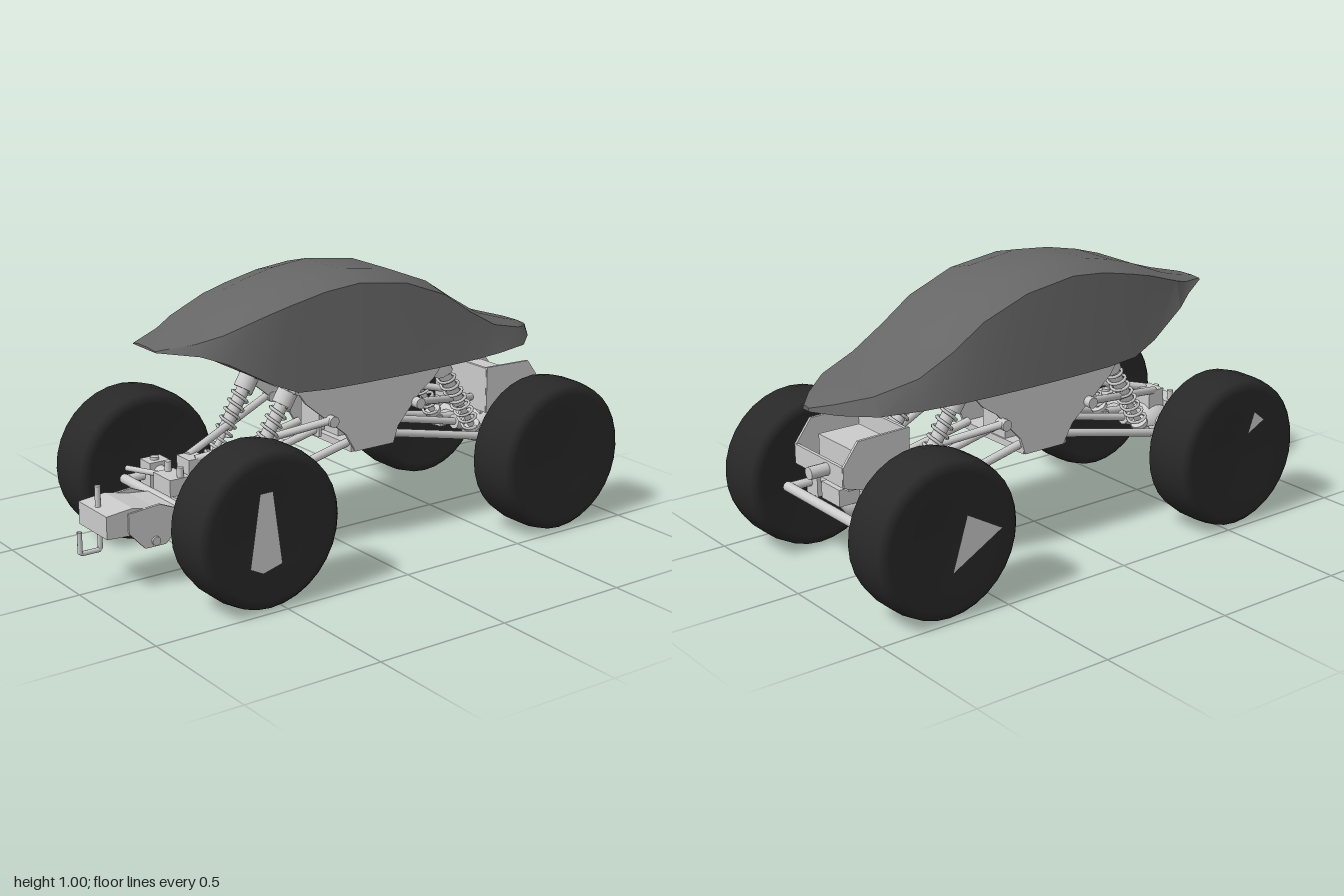
import * as THREE from 'three';
import { toCreasedNormals } from 'three/addons/utils/BufferGeometryUtils.js';

const grey = new THREE.MeshStandardMaterial({ color: 0xcccccc, side: THREE.DoubleSide });
const rubber = new THREE.MeshStandardMaterial({ color: 0x282828 });
const shellPaint = new THREE.MeshStandardMaterial({ color: 0x666666, side: THREE.DoubleSide });
const V = (x, y, z) => new THREE.Vector3(x, y, z);

export function createModel() {
  const model = new THREE.Group();

  function add(name, geo, x = 0, y = 0, z = 0, mat = grey, parent = model) {
    const mesh = new THREE.Mesh(geo, mat);
    mesh.name = name;
    mesh.position.set(x, y, z);
    parent.add(mesh);
    return mesh;
  }
  const box = (name, w, h, d, x, y, z) => add(name, new THREE.BoxGeometry(w, h, d), x, y, z);

  // Cylinder between two points
  function rod(name, a, b, r, r2 = r, sides = 12) {
    const dir = b.clone().sub(a);
    const mid = a.clone().add(b).multiplyScalar(0.5);
    const mesh = add(name, new THREE.CylinderGeometry(r2, r, dir.length(), sides), mid.x, mid.y, mid.z);
    mesh.quaternion.setFromUnitVectors(V(0, 1, 0), dir.normalize());
    return mesh;
  }

  // Side profile given as [z, y], extruded across x
  function plate(name, pts, x, thickness) {
    const shape = new THREE.Shape(pts.map(([z, y]) => new THREE.Vector2(-z, y)));
    const geo = new THREE.ExtrudeGeometry(shape, { depth: thickness, bevelEnabled: false });
    geo.translate(0, 0, -thickness / 2).rotateY(Math.PI / 2);
    return add(name, geo, x, 0, 0);
  }

  // Body shell: z, bottom, shoulder height, top, rim half width, shoulder half width
  const sections = [
    [0.725, 0.812, 0.816, 0.82, 0.075, 0.07], [0.6, 0.795, 0.835, 0.85, 0.15, 0.13],
    [0.52, 0.765, 0.86, 0.875, 0.195, 0.17], [0.37, 0.68, 0.91, 0.935, 0.225, 0.2],
    [0.27, 0.637, 0.935, 0.965, 0.235, 0.207], [0.14, 0.63, 0.962, 0.992, 0.245, 0.212],
    [0, 0.63, 0.975, 1.005, 0.252, 0.217], [-0.2, 0.63, 0.948, 0.98, 0.255, 0.22],
    [-0.38, 0.63, 0.88, 0.91, 0.252, 0.215], [-0.5, 0.63, 0.8, 0.832, 0.245, 0.21],
    [-0.63, 0.63, 0.73, 0.755, 0.228, 0.195], [-0.78, 0.63, 0.69, 0.707, 0.19, 0.155],
    [-0.88, 0.632, 0.665, 0.678, 0.1, 0.08], [-0.94, 0.637, 0.648, 0.652, 0.02, 0.015]];
  const pos = [], idx = [], n = 6, last = (sections.length - 1) * n;
  for (const [z, yb, ys, yt, wb, ws] of sections) {
    for (const [x, y] of [[wb, yb], [ws, ys], [ws * 0.47, yt], [-ws * 0.47, yt], [-ws, ys], [-wb, yb]]) pos.push(x, y, z);
  }
  for (let i = 0; i < last; i += n) {
    for (let j = 0; j < n; j++) {
      const a = i + j, b = i + (j + 1) % n, c = b + n, d = a + n;
      idx.push(a, d, c, a, c, b);
    }
  }
  for (let j = 1; j < n - 1; j++) idx.push(0, j, j + 1, last, last + j + 1, last + j);
  const shell = new THREE.BufferGeometry();
  shell.setAttribute('position', new THREE.Float32BufferAttribute(pos, 3));
  shell.setIndex(idx);
  add('bodyShell', toCreasedNormals(shell, 0.45), 0, 0, 0, shellPaint);

  // Wheels: closed tyres, some with an uncovered piece of rim as [z, y] from the hub
  const tyre = new THREE.LatheGeometry([
    [0, -0.09], [0.14, -0.093], [0.235, -0.102], [0.257, -0.099], [0.27, -0.085], [0.278, -0.04],
    [0.278, 0.04], [0.27, 0.085], [0.257, 0.099], [0.235, 0.102], [0.14, 0.098], [0, 0.096],
  ].map(p => new THREE.Vector2(...p)), 32).rotateZ(-Math.PI / 2);
  const wheels = [
    [1, 0.552, [[0.05, 0.14], [0.09, -0.11], [0.04, -0.135], [-0.035, -0.115], [0, 0.14]]],
    [-1, 0.552, [[0.03, 0.07], [0.06, 0.15], [0.11, 0.11]]],
    [1, -0.72, null],
    [-1, -0.72, [[0, -0.11], [0.06, 0.08], [0.2, 0]]]];
  for (const [s, z, patch] of wheels) {
    const wheel = new THREE.Group();
    wheel.name = 'wheel';
    wheel.position.set(s * 0.392, 0.281, z);
    model.add(wheel);
    add('tyre', tyre, 0, 0, 0, rubber, wheel).rotation.y = s < 0 ? Math.PI : 0;
    if (patch) {
      const geo = new THREE.ShapeGeometry(new THREE.Shape(patch.map(([pz, py]) => new THREE.Vector2(-pz, py))));
      add('exposedRim', geo.rotateY(Math.PI / 2), s * 0.104, 0, 0, grey, wheel);
    }
  }

  // Chassis side plates, cross members and skid
  const side = [[0.25, 0.64], [0.2, 0.57], [0.03, 0.43], [0, 0.38], [-0.01, 0.36],
    [-0.18, 0.36], [-0.2, 0.42], [-0.3, 0.53], [-0.36, 0.57], [-0.42, 0.64]];
  for (const s of [-1, 1]) plate('chassisSide', side, s * 0.175, 0.012);
  box('skidPlate', 0.35, 0.025, 0.19, 0, 0.372, -0.09);
  for (const z of [0.23, -0.42]) rod('shockCrossbar', V(-0.18, 0.62, z), V(0.18, 0.62, z), 0.014);

  // Gearbox and motor
  box('gearbox', 0.13, 0.15, 0.16, 0, 0.46, -0.1);
  rod('motor', V(-0.03, 0.56, -0.2), V(-0.03, 0.56, 0.04), 0.055, 0.055, 24);
  rod('motorShaft', V(-0.03, 0.56, 0.04), V(-0.03, 0.56, 0.06), 0.016);
  box('motorPlate', 0.11, 0.18, 0.012, -0.03, 0.47, 0.03);

  // Coil-over shock running from its lower to its upper eye
  function shock(low, high) {
    const g = new THREE.Group(), len = low.distanceTo(high);
    g.name = 'shock';
    g.position.copy(low);
    g.quaternion.setFromUnitVectors(V(0, 1, 0), high.clone().sub(low).normalize());
    model.add(g);
    const cyl = (name, r, y0, y1) =>
      add(name, new THREE.CylinderGeometry(r, r, (y1 - y0) * len, 14), 0, (y0 + y1) / 2 * len, 0, grey, g);
    cyl('shockShaft', 0.012, 0, 0.5);
    cyl('shockBody', 0.024, 0.42, 0.98);
    cyl('lowerSpringSeat', 0.032, 0.07, 0.11);
    cyl('upperSpringSeat', 0.037, 0.84, 0.98);
    const turns = 8, coil = [];
    for (let i = 0; i <= turns * 10; i++) {
      const a = i / 10 * Math.PI * 2;
      coil.push(V(Math.cos(a) * 0.032, len * (0.12 + 0.72 * i / (turns * 10)), Math.sin(a) * 0.032));
    }
    add('spring', new THREE.TubeGeometry(new THREE.CatmullRomCurve3(coil), turns * 14, 0.006, 5), 0, 0, 0, grey, g);
    for (const y of [0, len]) add('shockEye', new THREE.CylinderGeometry(0.018, 0.018, 0.04, 12), 0, y, 0, grey, g).rotation.z = Math.PI / 2;
  }

  // Axles with links; d points from the chassis towards the axle's end of the vehicle
  for (const [d, z, tie, inner, shockTop, shockLow] of [
    [1, 0.552, 0.66, 0, 0.23, 0.42], [-1, -0.74, -0.86, -0.18, -0.42, -0.62]]) {
    rod('axleTube', V(-0.32, 0.285, z), V(0.32, 0.285, z), 0.027);
    const diff = add('differential', new THREE.SphereGeometry(0.08, 16, 12), 0, 0.285, z);
    diff.scale.set(0.9, 0.9, 1);
    rod('pinionHousing', V(0, 0.295, z), V(0, 0.315, z - d * 0.13), 0.045, 0.028);
    rod('driveShaft', V(0, 0.315, z - d * 0.13), V(0, 0.41, inner), 0.014);
    rod('tieRod', V(-0.28, 0.265, tie), V(0.28, 0.265, tie), 0.018);
    rod('steeringLink', V(-0.26, 0.31, tie), V(-0.03, 0.32, z + d * 0.02), 0.01);
    box('upperLinkMount', 0.08, 0.1, 0.07, 0, 0.355, z);
    box('servo', 0.11, 0.06, 0.08, 0, 0.325, z + d * 0.08);
    for (const s of [-1, 1]) {
      box('steeringKnuckle', 0.07, 0.1, 0.08, s * 0.25, 0.275, z);
      rod('kingpin', V(s * 0.25, 0.215, z), V(s * 0.25, 0.335, z), 0.016);
      rod('steeringArm', V(s * 0.26, 0.27, z), V(s * 0.27, 0.265, tie), 0.016);
      box('lowerLinkMount', 0.04, 0.05, 0.09, s * 0.155, 0.275, z - d * 0.04);
      rod('lowerLink', V(s * 0.165, 0.285, z - d * 0.06), V(s * 0.15, 0.39, inner), 0.015);
      rod('upperLink', V(s * 0.025, 0.4, z), V(s * 0.195, 0.5, inner + d * 0.1), 0.014);
      rod('upperLinkBolt', V(s * 0.165, 0.495, inner + d * 0.1), V(s * 0.21, 0.495, inner + d * 0.1), 0.02);
      rod('mountPost', V(s * 0.04, 0.3, z + d * 0.07), V(s * 0.04, 0.39, z + d * 0.07), 0.012);
      rod('shockLowerBolt', V(s * 0.09, 0.3, shockLow), V(s * 0.16, 0.3, shockLow), 0.012);
      rod('shockBracket', V(s * 0.13, 0.3, shockLow), V(s * 0.13, 0.285, z), 0.014);
      shock(V(s * 0.115, 0.3, shockLow), V(s * 0.12, 0.615, shockTop));
    }
  }

  // Front winch bumper, roller, fork and hook
  plate('winchBox', [[0.94, 0.215], [0.94, 0.295], [0.84, 0.305], [0.75, 0.285], [0.62, 0.27], [0.62, 0.24], [0.78, 0.19], [0.85, 0.21]], 0, 0.19);
  for (const s of [-1, 1]) plate('bumperBracket', [[0.86, 0.22], [0.8, 0.155], [0.72, 0.155], [0.62, 0.25], [0.74, 0.3], [0.86, 0.29]], s * 0.097, 0.01);
  rod('bumperRoller', V(-0.11, 0.175, 0.76), V(0.11, 0.175, 0.76), 0.016);
  rod('bumperPost', V(-0.005, 0.29, 0.915), V(-0.005, 0.37, 0.915), 0.01);
  const hookPath = new THREE.CurvePath();
  const hook = [V(0, 0.22, 0.915), V(0, 0.147, 0.915), V(0, 0.147, 0.991), V(0, 0.225, 0.991)];
  for (let i = 0; i < 3; i++) hookPath.add(new THREE.LineCurve3(hook[i], hook[i + 1]));
  add('towHook', new THREE.TubeGeometry(hookPath, 24, 0.009, 8), 0, 0, 0);

  // Rear equipment tray: open box with a raked top, and its knob
  const tray = [[-0.9, 0.4], [-0.9, 0.47], [-0.84, 0.55], [-0.64, 0.555], [-0.64, 0.38], [-0.8, 0.37]];
  for (const x of [-0.145, 0.145]) plate('traySide', tray, x, 0.01);
  box('trayFloor', 0.29, 0.012, 0.24, 0, 0.39, -0.76);
  box('trayFront', 0.29, 0.17, 0.012, 0, 0.465, -0.645);
  box('trayBack', 0.29, 0.07, 0.012, 0, 0.435, -0.895);
  box('trayBattery', 0.22, 0.1, 0.16, 0, 0.45, -0.75);
  rod('trayKnob', V(-0.05, 0.44, -0.97), V(-0.05, 0.44, -0.89), 0.022);
  return model;
}
